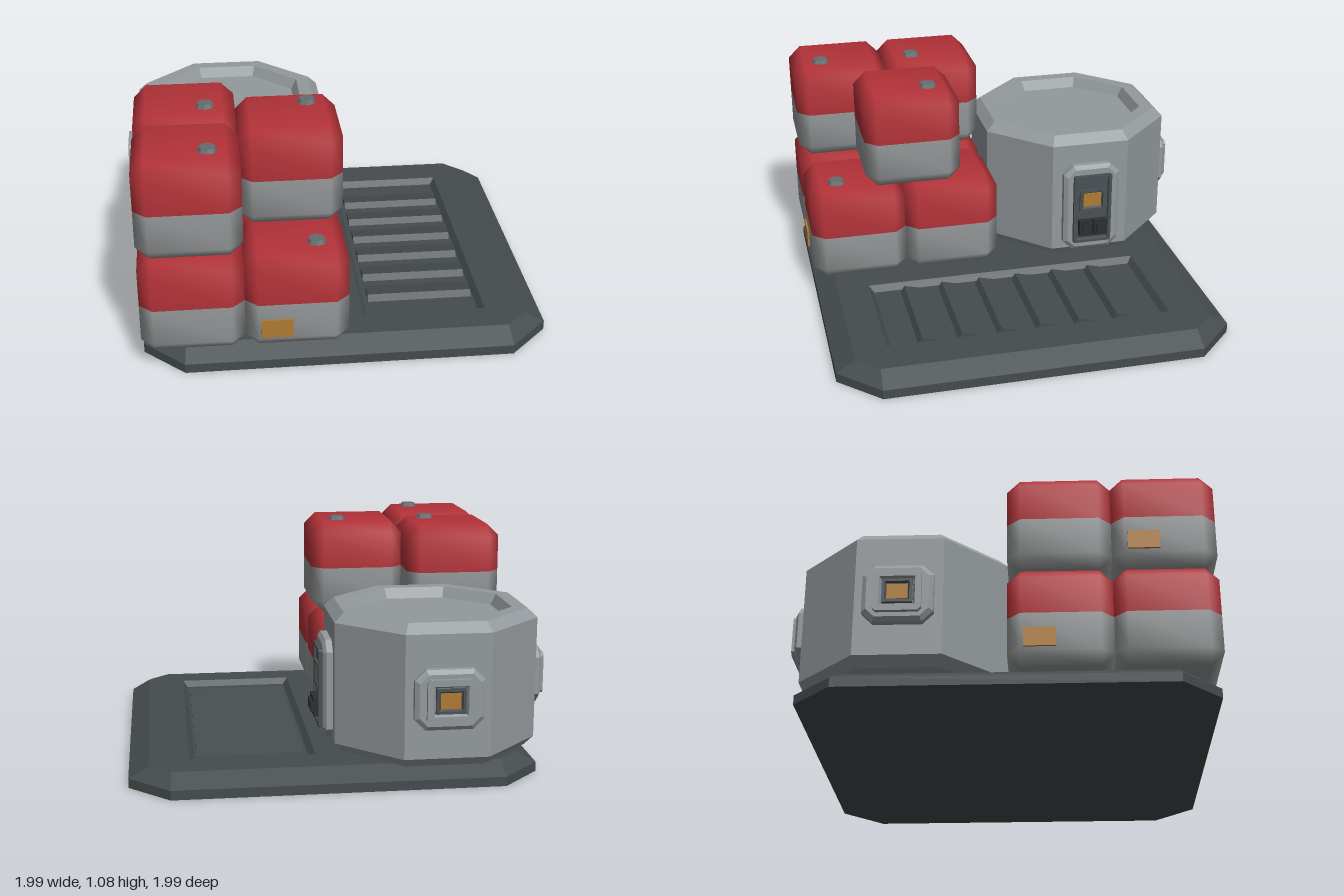
import * as THREE from 'three';
import { mergeVertices } from 'three/addons/utils/BufferGeometryUtils.js';

const colors = {
  plate: 0x454c4e, red: 0xb23238, grey: 0x96999a, drum: 0x93999c,
  trim: 0x4a5154, dark: 0x2b2f31, amber: 0xb07a32, knob: 0x666c6e,
};

function add(parent, name, geometry, color, x = 0, y = 0, z = 0, smooth = false) {
  const material = new THREE.MeshStandardMaterial({ flatShading: !smooth });
  material.color.set(colors[color]);
  const mesh = new THREE.Mesh(geometry, material);
  mesh.name = name;
  mesh.position.set(x, y, z);
  parent.add(mesh);
  return mesh;
}

function group(parent, name, x = 0, y = 0, z = 0) {
  const g = new THREE.Group();
  g.name = name;
  g.position.set(x, y, z);
  parent.add(g);
  return g;
}

// Rectangle with cut corners, as [x, z] points
function octagon(hx, hz, c) {
  const a = hx - c, b = hz - c;
  return [[hx, -b], [hx, b], [a, hz], [-a, hz], [-hx, b], [-hx, -b], [-a, -hz], [a, -hz]];
}

// Skin through cut-corner sections, each [halfX, halfZ, corner, y]
function loft(rings, { bottom = true, top = true, smooth = false } = {}) {
  const pos = [], index = [], n = 8, last = (rings.length - 1) * n;
  for (const [hx, hz, c, y] of rings) for (const [x, z] of octagon(hx, hz, c)) pos.push(x, y, z);
  for (let r = 0; r < rings.length - 1; r++) {
    for (let i = 0; i < n; i++) {
      const a = r * n + i, b = r * n + (i + 1) % n;
      index.push(a, a + n, b + n, a, b + n, b);
    }
  }
  for (let i = 1; i < n - 1; i++) {
    if (bottom) index.push(0, i, i + 1);
    if (top) index.push(last, last + i + 1, last + i);
  }
  let g = new THREE.BufferGeometry();
  g.setAttribute('position', new THREE.Float32BufferAttribute(pos, 3));
  g.setIndex(index);
  g = smooth ? mergeVertices(g) : g.toNonIndexed();
  g.computeVertexNormals();
  return g;
}

// Floor plate with bevelled rim and a sunken louvred panel
function addPlate(root) {
  const plate = group(root, 'basePlate', 0.035, 0, 0.025);
  add(plate, 'plateRim', loft([
    [0.955, 0.955, 0.19, 0], [0.955, 0.955, 0.19, 0.045], [0.86, 0.86, 0.1, 0.1],
  ], { top: false }), 'plate');

  const shape = new THREE.Shape(octagon(0.86, 0.86, 0.1).map(([x, z]) => new THREE.Vector2(x, z)));
  const hole = octagon(0.295, 0.695, 0).map(([x, z]) => new THREE.Vector2(x + 0.38, z - 0.01));
  shape.holes.push(new THREE.Path(hole.filter((p, i) => i % 2 === 0)));
  add(plate, 'plateTop', new THREE.ShapeGeometry(shape).rotateX(-Math.PI / 2), 'plate', 0, 0.1, 0);
  add(plate, 'ventRecess', loft([[0.295, 0.695, 0, 0.1], [0.27, 0.67, 0, 0.07]], { bottom: false }),
    'plate', 0.38, 0, 0.01);

  // Louvres rise gently towards the front and drop off steeply
  const profile = new THREE.Shape([[0, 0], [0.145, 0], [0.125, 0.03]].map(([z, y]) => new THREE.Vector2(-z, y)));
  for (let i = 0; i < 6; i++) {
    const louvre = new THREE.ExtrudeGeometry(profile, { depth: 0.51, bevelEnabled: false });
    louvre.rotateY(Math.PI / 2);
    add(plate, 'louvre', louvre, 'plate', 0.13, 0.07, -0.555 + i * 0.192);
  }
}

// Fitting on the drum wall: stepped housing, sunken window, optional keypad
function addPort(drum, name, angle, y, hw, hh, tierW, tierH, windowY, keypad) {
  const port = group(drum, name);
  port.rotation.y = angle;
  const face = group(port, 'housingFace', 0, y, 0.475);
  const up = (g) => g.rotateX(Math.PI / 2);
  add(face, 'housing', up(loft([
    [hw, hh, 0.05, 0], [hw, hh, 0.05, 0.035], [hw - 0.02, hh - 0.02, 0.04, 0.05],
  ])), 'drum');
  if (keypad) {
    add(face, 'controlPanel', up(loft([
      [tierW, tierH, 0.005, 0.04], [tierW, tierH, 0.005, 0.068],
      [tierW - 0.015, tierH - 0.015, 0.003, 0.068], [tierW - 0.02, tierH - 0.02, 0.003, 0.056],
    ])), 'trim');
    for (const s of [-1, 1]) {
      add(face, 'key', new THREE.BoxGeometry(0.07, 0.085, 0.035), 'dark', s * 0.038, -0.1, 0.07);
      add(face, 'keyLever', new THREE.BoxGeometry(0.04, 0.05, 0.02), 'dark', s * 0.038, -0.1, 0.09);
    }
  } else {
    add(face, 'windowSurround', up(loft([
      [tierW, tierH, 0.015, 0.04], [tierW, tierH, 0.015, 0.07], [0.08, 0.07, 0, 0.07], [0.07, 0.06, 0, 0.052],
    ])), 'drum');
  }
  add(face, 'windowFrame', up(loft([
    [0.068, 0.058, 0, 0.045], [0.068, 0.058, 0, 0.068], [0.055, 0.045, 0, 0.068], [0.048, 0.038, 0, 0.056],
  ])), 'trim', 0, windowY, 0);
  add(face, 'window', new THREE.BoxGeometry(0.094, 0.074, 0.01), 'amber', 0, windowY, 0.054);
}

// Eight-sided drum with a dished lid
function addDrum(root) {
  const drum = group(root, 'drum', -0.45, 0, -0.45);
  const rings = [[0.44, 0.1], [0.48, 0.145], [0.48, 0.725], [0.435, 0.77], [0.368, 0.77], [0.34, 0.72]];
  add(drum, 'drumBody', loft(rings.map(([h, y]) => [h, h, h * 0.586, y])), 'drum');
  addPort(drum, 'controlPort', Math.PI / 2, 0.385, 0.147, 0.238, 0.1, 0.188, 0.05, true);
  addPort(drum, 'sidePort', -Math.PI / 2, 0.43, 0.16, 0.14, 0.108, 0.1, 0, false);
  addPort(drum, 'backPort', Math.PI, 0.43, 0.16, 0.14, 0.108, 0.1, 0, false);
}

// Softly chamfered crate, red above grey, with cap and label
function addCrate(root, x, y, z, knobZ, labelSide) {
  const crate = group(root, 'crate', x, y, z);
  const h = 0.239, c = 0.06, i = h - c;
  const half = loft([[h, h, c, 0], [h, h, c, i], [i, i, 0, h]], { bottom: false, smooth: true });
  add(crate, 'crateTop', half, 'red', 0, 0, 0, true);
  add(crate, 'crateBottom', half.clone().rotateX(Math.PI), 'grey', 0, 0, 0, true);
  if (knobZ) {
    add(crate, 'cap', new THREE.CylinderGeometry(0.036, 0.047, 0.022, 8), 'knob', 0.097, h + 0.008, knobZ);
  }
  if (labelSide === 'front') {
    add(crate, 'label', new THREE.BoxGeometry(0.145, 0.09, 0.02), 'amber', -0.095, -0.12, h);
  } else if (labelSide === 'side') {
    add(crate, 'label', new THREE.BoxGeometry(0.02, 0.09, 0.145), 'amber', -h, -0.12, -0.095);
  }
}

export function createModel() {
  const root = new THREE.Group();
  root.name = 'cargoPallet';
  addPlate(root);
  addDrum(root);
  const low = 0.341, high = 0.82, k = 0.097;
  addCrate(root, -0.685, low, 0.27, 0, 'side');
  addCrate(root, -0.685, low, 0.745, 0, '');
  addCrate(root, -0.21, low, 0.27, 0, '');
  addCrate(root, -0.21, low, 0.745, k, 'front');
  addCrate(root, -0.685, high, 0.27, k, '');
  addCrate(root, -0.685, high, 0.745, k, 'side');
  addCrate(root, -0.21, high, 0.46, -k, '');
  return root;
}
